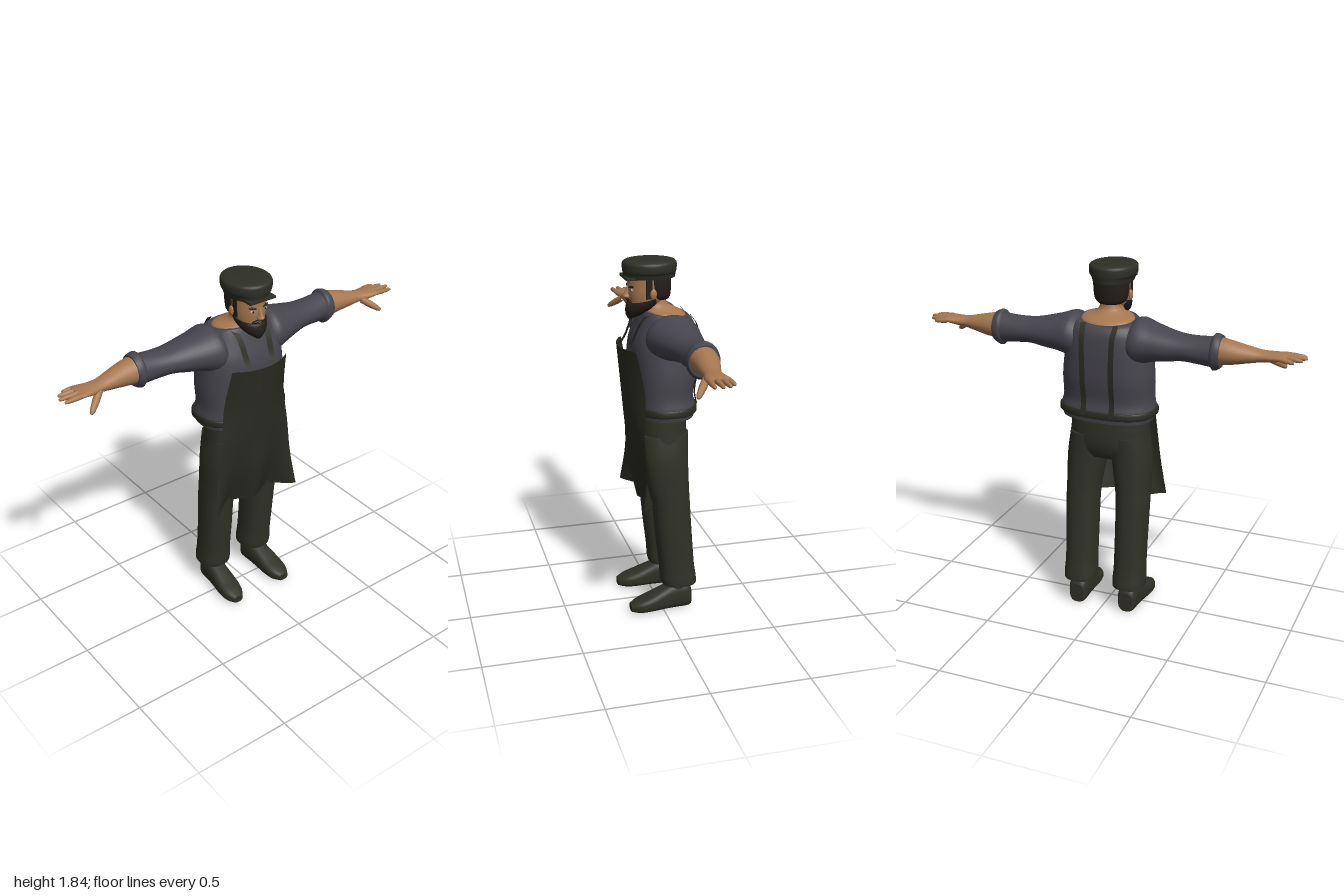
import * as THREE from 'three';

const mat = (name, color, side = THREE.FrontSide) => {
  const m = new THREE.MeshStandardMaterial({ color, side });
  m.name = name;
  return m;
};

// Catmull-Rom blend of one column of a section table
const blend = (rows, k, f) => {
  const i = Math.min(Math.floor(f), rows.length - 2), t = f - i;
  const p = (j) => rows[Math.max(0, Math.min(rows.length - 1, j))][k];
  const a = p(i - 1), b = p(i), c = p(i + 1), d = p(i + 2);
  return b + 0.5 * t * (c - a + t * (2 * a - 5 * b + 4 * c - d + t * (3 * (b - c) + d - a)));
};

// Closed loft along an axis. Row: [t, u, v, ru, rv, tilt]
// y axis: u = x, v = z;  x axis: u = y, v = z;  z axis: u = x, v = y
function loft(axis, rows, { n = 32, sub = 4, e = 2 } = {}) {
  const pos = [], idx = [];
  const put = (t, u, v) => pos.push(...(axis === 'y' ? [u, t, v] : axis === 'x' ? [t, u, v] : [u, v, t]));
  const flip = (axis !== 'y') !== (rows[rows.length - 1][0] < rows[0][0]);
  const tri = (a, b, c) => (flip ? idx.push(a, c, b) : idx.push(a, b, c));
  const pw = (s) => Math.sign(s) * Math.abs(s) ** (2 / e);
  const full = rows.map((r) => [...r, 0].slice(0, 6));
  const steps = (rows.length - 1) * sub;
  const ring = (i) => {
    const [t, u, v, ru, rv, tilt] = [0, 1, 2, 3, 4, 5].map((k) => blend(full, k, i / sub));
    for (let j = 0; j < n; j++) {
      const a = (j / n) * Math.PI * 2, s = pw(Math.sin(a));
      put(t + tilt * s, u + ru * pw(Math.cos(a)), v + rv * s);
    }
    return [t, u, v];
  };
  for (let i = 0; i <= steps; i++) ring(i);
  for (let i = 0; i < steps; i++) for (let j = 0; j < n; j++) {
    const a = i * n + j, b = i * n + ((j + 1) % n);
    tri(a, a + n, b);
    tri(b, a + n, b + n);
  }
  for (const end of [0, steps]) {
    const base = pos.length / 3, c = ring(end);
    put(...c);
    for (let j = 0; j < n; j++) {
      const a = base + j, b = base + ((j + 1) % n);
      end ? tri(a, base + n, b) : tri(a, b, base + n);
    }
  }
  const g = new THREE.BufferGeometry();
  g.setAttribute('position', new THREE.Float32BufferAttribute(pos, 3));
  g.setIndex(idx);
  g.computeVertexNormals();
  return g;
}

// Flat strap of constant width following a path
function ribbon(points, width) {
  const curve = new THREE.CatmullRomCurve3(points.map((p) => new THREE.Vector3(...p)));
  const g = new THREE.PlaneGeometry(width, 1, 1, 24), p = g.attributes.position;
  for (let i = 0; i < p.count; i++) {
    const c = curve.getPoint(0.5 - p.getY(i));
    p.setXYZ(i, c.x + p.getX(i), c.y, c.z);
  }
  g.computeVertexNormals();
  return g;
}

// Tapered finger with a rounded tip
function finger(from, to, r) {
  const a = new THREE.Vector3(...from), d = new THREE.Vector3(...to).sub(a), L = d.length();
  const prof = [[r, 0], [r * 1.02, L * 0.45], [r * 0.75, L * 0.85], [r * 0.45, L * 0.97], [0, L]];
  const g = new THREE.LatheGeometry(prof.map((p) => new THREE.Vector2(...p)), 10);
  g.applyQuaternion(new THREE.Quaternion().setFromUnitVectors(new THREE.Vector3(0, 1, 0), d.normalize()));
  return g.translate(a.x, a.y, a.z);
}

export function createModel() {
  const root = new THREE.Group();
  const shirt = mat('slate shirt', 0x47454d), apron = mat('apron cloth', 0x2a2b22, THREE.DoubleSide);
  const trousers = mat('olive trousers', 0x303127), hat = mat('hat felt', 0x2e3026);
  const leather = mat('shoe leather', 0x2f3026), skin = mat('skin', 0xa67850);
  const hair = mat('dark hair', 0x231e18), white = mat('eye white', 0xb5a898);
  const add = (name, geo, material) => {
    const m = new THREE.Mesh(geo, material);
    m.name = name;
    root.add(m);
    return m;
  };
  const blob = (name, material, p, s) => {
    const m = add(name, new THREE.SphereGeometry(1, 16, 12), material);
    m.position.set(...p);
    m.scale.set(...s);
    return m;
  };

  // Shirt body and waist tie
  add('shirtBody', loft('y', [
    [1.07, 0, -0.03, 0.235, 0.15], [1.12, 0, -0.03, 0.245, 0.155], [1.18, 0, -0.025, 0.235, 0.15],
    [1.28, 0, -0.03, 0.235, 0.16], [1.38, 0, -0.03, 0.225, 0.163], [1.45, 0, -0.035, 0.215, 0.158],
    [1.52, 0, -0.045, 0.19, 0.143], [1.565, 0, -0.047, 0.165, 0.125, 0.01], [1.58, 0, -0.045, 0.145, 0.115, 0.015],
  ], { n: 48, e: 2.5 }), shirt);
  add('waistTie', loft('y', [
    [1.093, 0, -0.03, 0.248, 0.16], [1.1, 0, -0.03, 0.254, 0.165],
    [1.122, 0, -0.03, 0.254, 0.165], [1.13, 0, -0.03, 0.248, 0.16],
  ], { n: 48, e: 2.5, sub: 1 }), apron);

  // Open neckline and neck
  add('neck', loft('y', [
    [1.565, 0, -0.045, 0.141, 0.111, 0.014], [1.588, 0, -0.04, 0.13, 0.1, 0.012], [1.602, 0, -0.015, 0.085, 0.075],
    [1.63, 0, 0.002, 0.058, 0.058], [1.7, 0, 0.01, 0.056, 0.058],
  ]), skin);

  // Head, beard and hair
  add('head', loft('y', [
    [1.575, 0, 0.1, 0.03, 0.03], [1.6, 0, 0.075, 0.055, 0.06], [1.64, 0, 0.05, 0.075, 0.085],
    [1.68, 0, 0.04, 0.083, 0.1], [1.72, 0, 0.035, 0.085, 0.105], [1.78, 0, 0.035, 0.085, 0.105],
  ]), skin);
  add('nose', loft('y', [
    [1.718, 0, 0.133, 0.009, 0.01], [1.68, 0, 0.14, 0.012, 0.019],
    [1.664, 0, 0.142, 0.018, 0.024], [1.654, 0, 0.137, 0.012, 0.012],
  ], { n: 14 }), skin);
  add('beard', loft('y', [
    [1.553, 0, 0.128, 0.012, 0.012], [1.575, 0, 0.107, 0.043, 0.043], [1.602, 0, 0.083, 0.067, 0.068],
    [1.63, 0, 0.062, 0.079, 0.085, -0.008], [1.652, 0, 0.05, 0.083, 0.091, -0.02],
  ]), hair);
  add('hair', loft('y', [
    [1.648, 0, -0.01, 0.06, 0.055], [1.665, 0, -0.005, 0.08, 0.068],
    [1.71, 0, -0.002, 0.09, 0.075], [1.775, 0, 0, 0.092, 0.078],
  ]), hair);

  // Cap with a short peak
  add('cap', loft('y', [
    [1.756, 0, 0.03, 0.1, 0.128], [1.778, 0, 0.03, 0.108, 0.131], [1.79, 0, 0.03, 0.117, 0.134],
    [1.812, 0, 0.03, 0.12, 0.136], [1.832, 0, 0.03, 0.117, 0.133], [1.842, 0, 0.03, 0.098, 0.113],
    [1.845, 0, 0.03, 0.05, 0.06],
  ], { n: 40 }), hat);
  const peak = add('capPeak', new THREE.BoxGeometry(0.15, 0.012, 0.07), hat);
  peak.position.set(0, 1.76, 0.128);

  // Hips
  add('hips', loft('y', [
    [1.1, 0, -0.015, 0.2, 0.13], [1, 0, -0.015, 0.205, 0.134], [0.92, 0, -0.018, 0.208, 0.125],
    [0.86, 0, -0.018, 0.19, 0.1], [0.84, 0, -0.018, 0.14, 0.06],
  ], { e: 2.3 }), trousers);

  // Apron sheet: rows of [height, half width, middle z, edge z, ripple]
  const rows = [[0.6, 0.26, 0.1, 0.13, 0.06], [0.8, 0.235, 0.14, 0.105, 0.025], [1, 0.207, 0.155, 0.11, 0.004],
    [1.2, 0.187, 0.175, 0.1, 0], [1.42, 0.165, 0.195, 0.14, 0]];
  const sheet = new THREE.PlaneGeometry(2, 1, 32, 32), sp = sheet.attributes.position;
  for (let i = 0; i < sp.count; i++) {
    const u = sp.getX(i), f = (sp.getY(i) + 0.5) * (rows.length - 1);
    const [y, w, zc, ze, rip] = [0, 1, 2, 3, 4].map((k) => blend(rows, k, f));
    sp.setXYZ(i, u * w, y, zc + (ze - zc) * u * u - rip * Math.sin(Math.PI * u) ** 2);
  }
  sheet.computeVertexNormals();
  add('apron', sheet, apron);

  for (const s of [1, -1]) {
    const side = s > 0 ? 'left' : 'right';
    const mx = (list) => list.map(([x, ...r]) => [s * x, ...r]);

    // Sleeve, rolled cuff, forearm and palm
    add(side + 'Sleeve', loft('x', mx([
      [0.1, 1.46, -0.05, 0.07, 0.09], [0.165, 1.482, -0.043, 0.115, 0.135], [0.25, 1.483, -0.05, 0.094, 0.12],
      [0.33, 1.48, -0.06, 0.078, 0.1], [0.4, 1.48, -0.065, 0.066, 0.086], [0.48, 1.478, -0.07, 0.068, 0.077],
      [0.56, 1.478, -0.074, 0.076, 0.073],
    ])), shirt);
    add(side + 'Cuff', loft('x', mx([
      [0.55, 1.478, -0.073, 0.074, 0.072], [0.56, 1.478, -0.073, 0.091, 0.08],
      [0.578, 1.48, -0.073, 0.088, 0.08], [0.596, 1.482, -0.073, 0.077, 0.076],
    ]), { sub: 2 }), shirt);
    add(side + 'Forearm', loft('x', mx([
      [0.57, 1.486, -0.07, 0.069, 0.07], [0.64, 1.483, -0.07, 0.059, 0.063], [0.72, 1.48, -0.06, 0.042, 0.052],
      [0.78, 1.478, -0.052, 0.03, 0.043], [0.83, 1.479, -0.047, 0.025, 0.049],
      [0.885, 1.484, -0.046, 0.018, 0.058], [0.91, 1.484, -0.046, 0.011, 0.054],
    ])), skin);
    [[0.88, 1.482, -0.09, 0.95, 1.476, -0.102], [0.89, 1.486, -0.062, 0.985, 1.48, -0.073],
      [0.89, 1.487, -0.033, 1, 1.483, -0.036], [0.88, 1.485, -0.004, 0.99, 1.481, 0],
      [0.8, 1.468, -0.02, 0.885, 1.405, 0.045]].forEach(([a, b, c, d, e, f], i) =>
      add(side + (i === 4 ? 'Thumb' : 'Finger' + (i + 1)),
        finger([s * a, b, c], [s * d, e, f], i === 4 ? 0.018 : 0.013), skin));

    // Shoulder straps, front and back
    add(side + 'FrontStrap', ribbon([[0.072, 1.4, 0.172], [0.075, 1.45, 0.138], [0.08, 1.52, 0.108],
      [0.085, 1.565, 0.08], [0.092, 1.592, 0.045]].map(([x, y, z]) => [s * x, y, z]), 0.032), apron);
    add(side + 'BackStrap', ribbon([[0.085, 1.575, -0.155], [0.08, 1.52, -0.192], [0.078, 1.45, -0.202],
      [0.076, 1.38, -0.203], [0.075, 1.28, -0.2], [0.075, 1.18, -0.184], [0.075, 1.11, -0.196],
    ].map(([x, y, z]) => [s * x, y, z]), 0.028), apron);

    // Trouser leg, ankle and shoe
    add(side + 'Leg', loft('y', [
      [0.98, s * 0.11, -0.015, 0.092, 0.125], [0.85, s * 0.122, -0.016, 0.1, 0.12], [0.7, s * 0.134, -0.032, 0.09, 0.107],
      [0.6, s * 0.139, -0.046, 0.086, 0.098], [0.4, s * 0.138, -0.063, 0.083, 0.095], [0.25, s * 0.138, -0.078, 0.083, 0.092],
      [0.175, s * 0.138, -0.086, 0.087, 0.095], [0.145, s * 0.138, -0.09, 0.085, 0.092],
    ], { e: 2.3 }), trousers);
    add(side + 'Ankle', loft('y', [
      [0.08, s * 0.143, -0.075, 0.048, 0.06], [0.2, s * 0.14, -0.08, 0.045, 0.055]], { n: 20, sub: 1 }), leather);
    add(side + 'Shoe', loft('z', [
      [-0.152, s * 0.14, 0.06, 0.038, 0.053], [-0.13, s * 0.14, 0.069, 0.05, 0.068], [-0.06, s * 0.143, 0.072, 0.053, 0.071],
      [0, s * 0.147, 0.061, 0.056, 0.06], [0.07, s * 0.151, 0.046, 0.06, 0.045], [0.13, s * 0.154, 0.036, 0.053, 0.034],
      [0.175, s * 0.156, 0.03, 0.028, 0.02],
    ], { n: 28, e: 2.8 }), leather);

    // Face details
    blob(side + 'Ear', skin, [s * 0.09, 1.685, 0.032], [0.01, 0.026, 0.017]);
    blob(side + 'Eye', white, [s * 0.036, 1.7, 0.129], [0.014, 0.006, 0.006]);
    blob(side + 'Pupil', hair, [s * 0.036, 1.7, 0.133], [0.005, 0.0055, 0.004]);
    blob(side + 'Brow', hair, [s * 0.038, 1.717, 0.131], [0.021, 0.005, 0.007]).rotation.set(0, s * 0.4, s * 0.12);
    blob(side + 'Moustache', hair, [s * 0.018, 1.646, 0.137], [0.024, 0.007, 0.01]).rotation.set(0, s * 0.3, -s * 0.25);
    add(side + 'Sideburn', new THREE.BoxGeometry(0.008, 0.1, 0.03), hair).position.set(s * 0.082, 1.71, 0.052);
  }
  return root;
}
